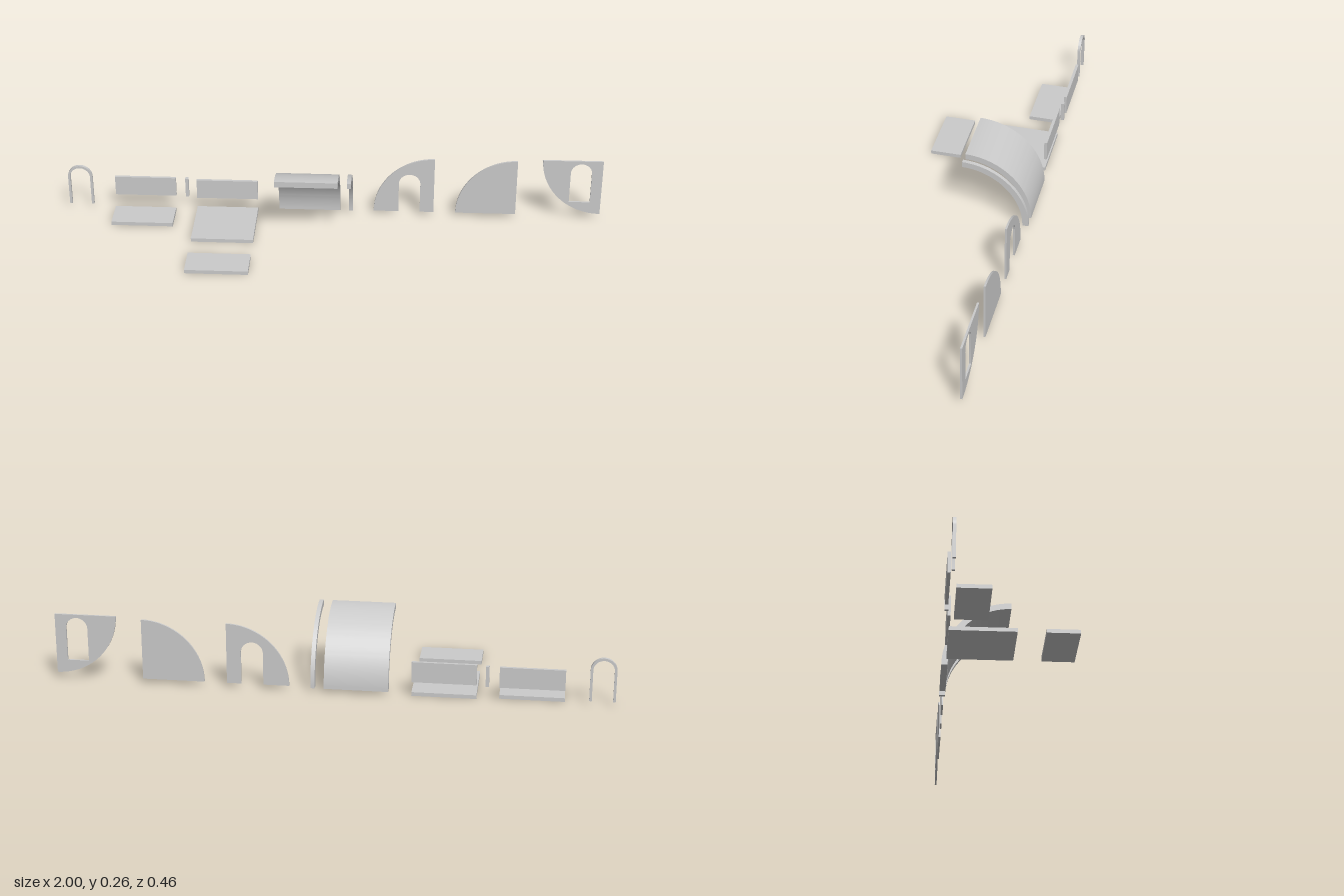
import * as THREE from 'three';
import { toCreasedNormals } from 'three/addons/utils/BufferGeometryUtils.js';

const R = 0.225;          // inner radius of the vault
const BASE = 0.018;       // springing height of the vault
const material = new THREE.MeshStandardMaterial({ color: 0xcccccc });

export function createModel() {
  const group = new THREE.Group();

  const add = (name, geometry) => {
    const mesh = new THREE.Mesh(geometry, material);
    mesh.name = name;
    group.add(mesh);
    return mesh;
  };

  // Box given by its limits on each axis
  const box = (name, [x0, x1], [y0, y1], [z0, z1]) =>
    add(name, new THREE.BoxGeometry(x1 - x0, y1 - y0, z1 - z0))
      .position.set((x0 + x1) / 2, (y0 + y1) / 2, (z0 + z1) / 2);

  const extrude = (shape, depth) => toCreasedNormals(
    new THREE.ExtrudeGeometry(shape, { depth, bevelEnabled: false, curveSegments: 20 }), 0.6);

  // Round-headed opening outline, from bottom right up and over to bottom left
  const archPath = (path, cx, y0, spring, r) => path
    .moveTo(cx + r, y0).lineTo(cx + r, spring)
    .absarc(cx, spring, r, 0, Math.PI, false).lineTo(cx - r, y0);

  // Floor slabs
  const xA = [-0.824, -0.594], xB = [-0.514, -0.284], slabY = [0.002, 0.016];
  box('largeFloor', xB, slabY, [-0.214, 0.018]);
  box('frontFloor', xB, slabY, [0.116, 0.232]);
  box('sideFloor', xA, slabY, [-0.2, -0.085]);

  // Low wall panels and the post between them
  const wallY = [0.056, 0.132];
  box('outerLowWall', xA, wallY, [-0.23, -0.219]);
  box('innerLowWall', xB, wallY, [-0.219, -0.208]);
  box('lowWallPost', [-0.558, -0.546], wallY, [-0.23, -0.217]);

  // Quarter vault and its narrow rib, swept along x
  const vault = (name, x0, x1) => {
    const s = new THREE.Shape();
    s.moveTo(R + 0.022, 0);
    s.absarc(0, 0, R + 0.022, 0, Math.PI / 2, false);
    s.lineTo(0, R);
    s.absarc(0, 0, R, Math.PI / 2, 0, true);
    s.closePath();
    add(name, extrude(s, x1 - x0).rotateY(Math.PI / 2)).position.set(x0, BASE, 0.018);
  };
  vault('vaultShell', -0.203, 0.027);
  vault('vaultRib', 0.06, 0.075);

  // Flat end walls
  const endWall = (name, shape) => {
    add(name, extrude(shape, 0.007)).position.z = -0.218;
  };

  // Quarter-round wall with an open doorway
  const door = new THREE.Shape();
  door.moveTo(0.378, BASE);
  door.lineTo(0.378, BASE + R);
  door.absarc(0.378, BASE, R, Math.PI / 2, Math.PI, false);
  door.lineTo(0.246, BASE);
  door.lineTo(0.246, 0.137);
  door.absarc(0.286, 0.137, 0.04, Math.PI, 0, true);
  door.lineTo(0.326, BASE);
  door.closePath();
  endWall('doorEndWall', door);

  // Plain quarter-round wall
  const plain = new THREE.Shape();
  plain.moveTo(0.685, BASE);
  plain.lineTo(0.685, BASE + R);
  plain.absarc(0.685, BASE, R, Math.PI / 2, Math.PI, false);
  plain.closePath();
  endWall('plainEndWall', plain);

  // Inverted quarter-round wall with a window
  const windowWall = new THREE.Shape();
  windowWall.moveTo(1, 0.251);
  windowWall.lineTo(1 - R, 0.251);
  windowWall.absarc(1, 0.251, R - 0.002, Math.PI, Math.PI * 1.5, false);
  windowWall.closePath();
  const hole = new THREE.Path();
  archPath(hole, 0.921, 0.077, 0.2, 0.039).closePath();
  windowWall.holes.push(hole);
  endWall('windowEndWall', windowWall);

  // Doorway trim
  const trim = new THREE.Shape();
  archPath(trim, -0.954, BASE, 0.134, 0.046);
  trim.lineTo(-0.991, BASE);
  trim.lineTo(-0.991, 0.134);
  trim.absarc(-0.954, 0.134, 0.037, Math.PI, 0, true);
  trim.lineTo(-0.917, BASE);
  trim.closePath();
  add('doorTrim', extrude(trim, 0.011)).position.z = -0.22;

  return group;
}
